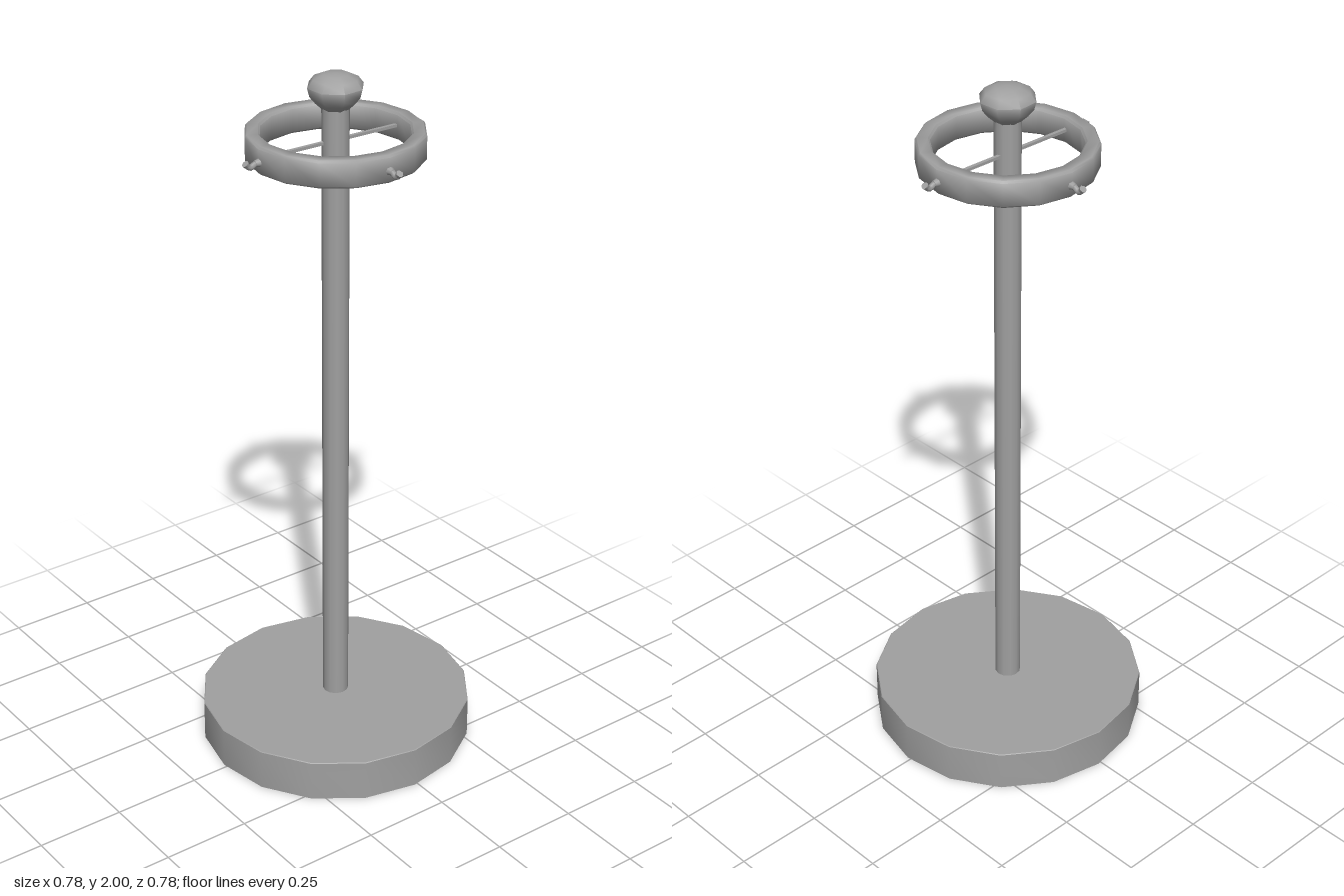
import * as THREE from 'three';
import { toCreasedNormals } from 'three/addons/utils/BufferGeometryUtils.js';

const SIDES = 16;

export function createModel() {
  const model = new THREE.Group();
  const stand = new THREE.Group();
  stand.name = 'stand';
  stand.rotation.y = -0.026;
  model.add(stand);

  const metal = new THREE.MeshStandardMaterial({ color: 0xa0a0a0 });
  const metalOpen = new THREE.MeshStandardMaterial({ color: 0xa0a0a0, side: THREE.DoubleSide });

  const add = (name, geometry, material = metal, parent = stand) => {
    const mesh = new THREE.Mesh(geometry, material);
    mesh.name = name;
    parent.add(mesh);
    return mesh;
  };
  // Turned part from [radius, height] pairs, bottom to top
  const turned = (points, sides, crease) => toCreasedNormals(
    new THREE.LatheGeometry(points.map(([r, y]) => new THREE.Vector2(r, y)), sides), crease);

  // Hollow base, open underneath
  add('base', turned([[0.39, 0], [0.39, 0.118], [0.388, 0.12], [0, 0.12]], SIDES, 0.6), metalOpen);

  // Pole running through the base up to the finial
  const pole = new THREE.CylinderGeometry(0.037, 0.037, 1.91, 12);
  add('pole', pole).position.y = 0.955;

  // Faceted round finial
  const finial = add('finial', turned([
    [0, 1.905], [0.037, 1.905], [0.055, 1.922], [0.071, 1.942], [0.077, 1.965],
    [0.062, 1.985], [0.035, 1.997], [0, 2],
  ], 8, 0.9));
  finial.rotation.y = -0.29;

  // Hoop with softened edges
  add('hoop', turned([
    [0.205, 1.774], [0.235, 1.774], [0.24, 1.779], [0.24, 1.843], [0.235, 1.849],
    [0.205, 1.849], [0.2, 1.843], [0.2, 1.779], [0.205, 1.774],
  ], SIDES, 1));

  // Thin bar carrying the hoop through the pole
  add('crossbar', new THREE.BoxGeometry(0.41, 0.008, 0.01)).position.set(0, 1.814, -0.006);

  // Four small upturned hooks around the hoop, flared at both ends
  const hookPath = new THREE.CatmullRomCurve3([
    [0.234, 1.809], [0.25, 1.806], [0.264, 1.799], [0.273, 1.803], [0.279, 1.811],
  ].map(([x, y]) => new THREE.Vector3(x, y, 0)));
  for (let i = 0; i < 4; i++) {
    const hook = new THREE.Group();
    hook.name = 'hook' + (i + 1);
    hook.rotation.y = i * Math.PI / 2;
    stand.add(hook);
    add('hookWire', new THREE.TubeGeometry(hookPath, 8, 0.008, 6), metalOpen, hook);
    const collar = new THREE.CylinderGeometry(0.008, 0.012, 0.014, 8).rotateZ(-Math.PI / 2);
    add('hookCollar', collar, metal, hook).position.set(0.244, 1.807, 0);
    const tip = new THREE.CylinderGeometry(0.01, 0.008, 0.01, 8).rotateZ(-0.7);
    add('hookTip', tip, metal, hook).position.set(0.277, 1.809, 0);
  }

  return model;
}
